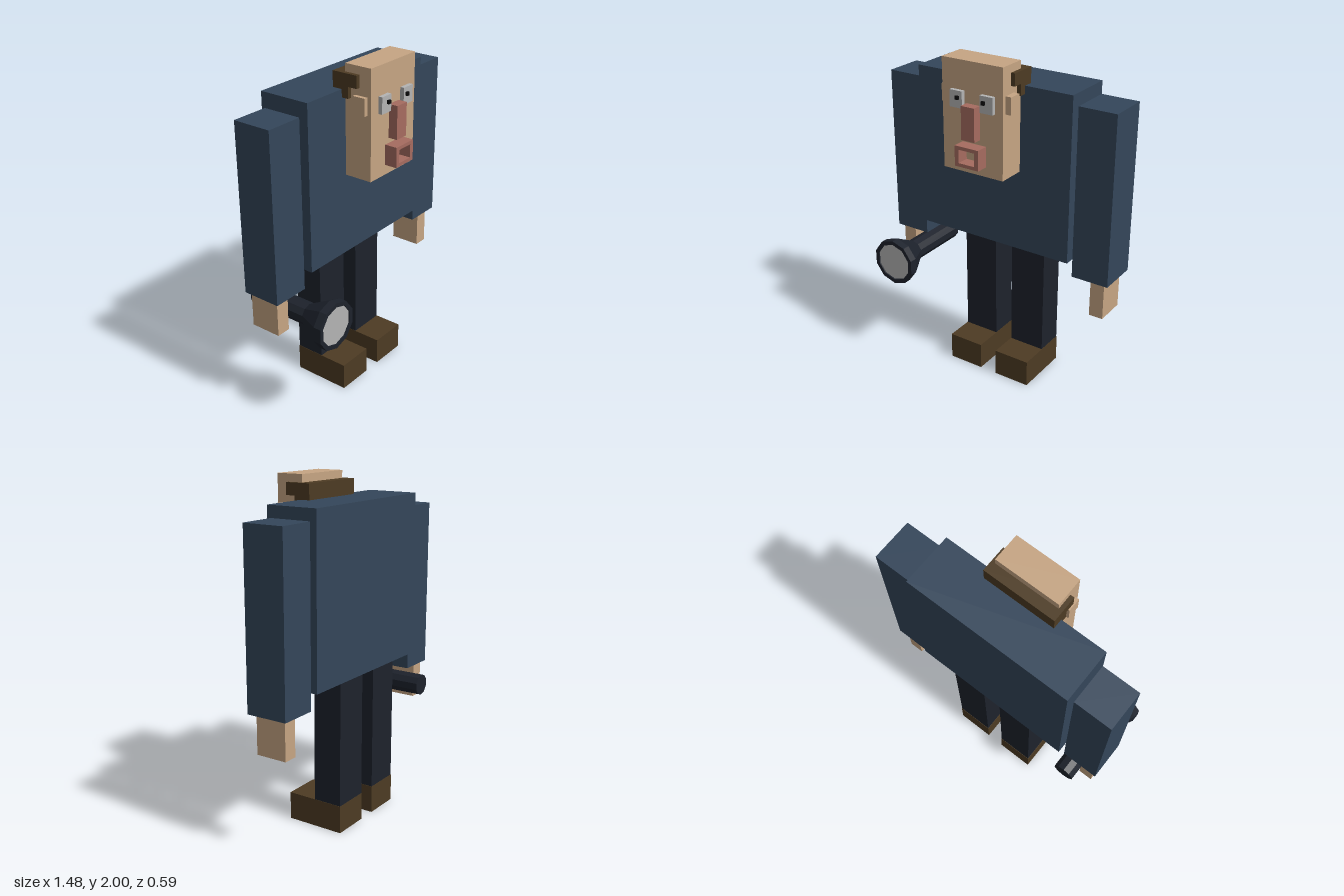
import * as THREE from 'three';

const mat = (color) => new THREE.MeshStandardMaterial({ color, flatShading: true });

export function createModel() {
  const model = new THREE.Group();
  model.name = 'blockyMan';

  const skin = mat(0xc6a583);
  const shirt = mat(0x34465a);
  const trousers = mat(0x1d222c);
  const brown = mat(0x4d3b23);
  const lips = mat(0xa66c60);
  const grey = mat(0xb4b4b4);
  const black = mat(0x0a0a0c);

  const add = (name, geometry, material) => {
    const mesh = new THREE.Mesh(geometry, material);
    mesh.name = name;
    model.add(mesh);
    return mesh;
  };

  // Box given by its extents along x, y and z
  const box = (name, material, [x0, x1], [y0, y1], [z0, z1]) =>
    add(name, new THREE.BoxGeometry(x1 - x0, y1 - y0, z1 - z0), material)
      .position.set((x0 + x1) / 2, (y0 + y1) / 2, (z0 + z1) / 2);

  // Body
  box('torso', shirt, [-0.5, 0.5], [0.895, 1.865], [-0.263, 0.049]);
  box('rightArm', shirt, [-0.74, -0.516], [0.785, 1.785], [-0.226, 0.008]);
  box('leftArm', shirt, [0.514, 0.738], [0.8, 1.8], [-0.234, 0.014]);
  box('rightHand', skin, [-0.715, -0.63], [0.57, 0.79], [-0.205, -0.018]);
  box('leftHand', skin, [0.618, 0.703], [0.57, 0.805], [-0.205, -0.018]);

  // Legs and shoes
  for (const [side, x0, x1] of [['right', -0.283, -0.06], ['left', 0.05, 0.276]]) {
    box(side + 'Leg', trousers, [x0 + 0.002, x1 - 0.002], [0.165, 0.9], [-0.258, -0.083]);
    box(side + 'Shoe', brown, [x0, x1], [0.004, 0.168], [-0.26, 0.09]);
  }

  // Head, ears and hair
  box('head', skin, [-0.202, 0.186], [1.375, 2], [0.054, 0.221]);
  box('rightEar', skin, [-0.225, -0.19], [1.745, 1.843], [0.12, 0.198]);
  box('leftEar', skin, [0.17, 0.221], [1.745, 1.843], [0.12, 0.198]);
  box('hairBand', brown, [-0.226, 0.21], [1.885, 1.955], [-0.01, 0.147]);
  box('hairLower', brown, [-0.226, 0.21], [1.82, 1.885], [-0.01, 0.09]);

  // Eyes
  for (const [side, x0, x1, px] of [['right', -0.138, -0.058, -0.086], ['left', 0.055, 0.137, 0.08]]) {
    box(side + 'Eye', grey, [x0, x1], [1.742, 1.837], [0.215, 0.245]);
    box(side + 'Pupil', black, [px - 0.01, px + 0.01], [1.79, 1.81], [0.24, 0.258]);
  }

  // Nose
  box('nose', lips, [-0.044, 0.041], [1.58, 1.77], [0.215, 0.275]);

  // Mouth: rectangular frame open in the middle
  const rect = (Type, x0, x1, y0, y1) => new Type()
    .moveTo(x0, y0).lineTo(x1, y0).lineTo(x1, y1).lineTo(x0, y1).closePath();
  const frame = rect(THREE.Shape, -0.074, 0.079, 1.433, 1.55);
  frame.holes.push(rect(THREE.Path, -0.049, 0.053, 1.453, 1.53));
  const mouth = add('mouth', new THREE.ExtrudeGeometry(frame, { depth: 0.078, bevelEnabled: false }), lips);
  mouth.position.z = 0.218;

  // Torch held in the right hand, pointing forward
  const profile = [
    [0, -0.297], [0.065, -0.297], [0.065, 0.085], [0.143, 0.23],
    [0.143, 0.276], [0.118, 0.276], [0.118, 0.255],
  ].map(([r, z]) => new THREE.Vector2(r, z));
  const torch = add('torch', new THREE.LatheGeometry(profile, 10).rotateX(Math.PI / 2), trousers);
  torch.position.set(-0.57, 0.678, 0);
  const lens = add('torchLens', new THREE.CircleGeometry(0.12, 10, Math.PI / 2), grey);
  lens.position.set(-0.57, 0.678, 0.268);

  // Stand on the ground
  model.children.forEach((part) => { part.position.y -= 0.002; });
  return model;
}
